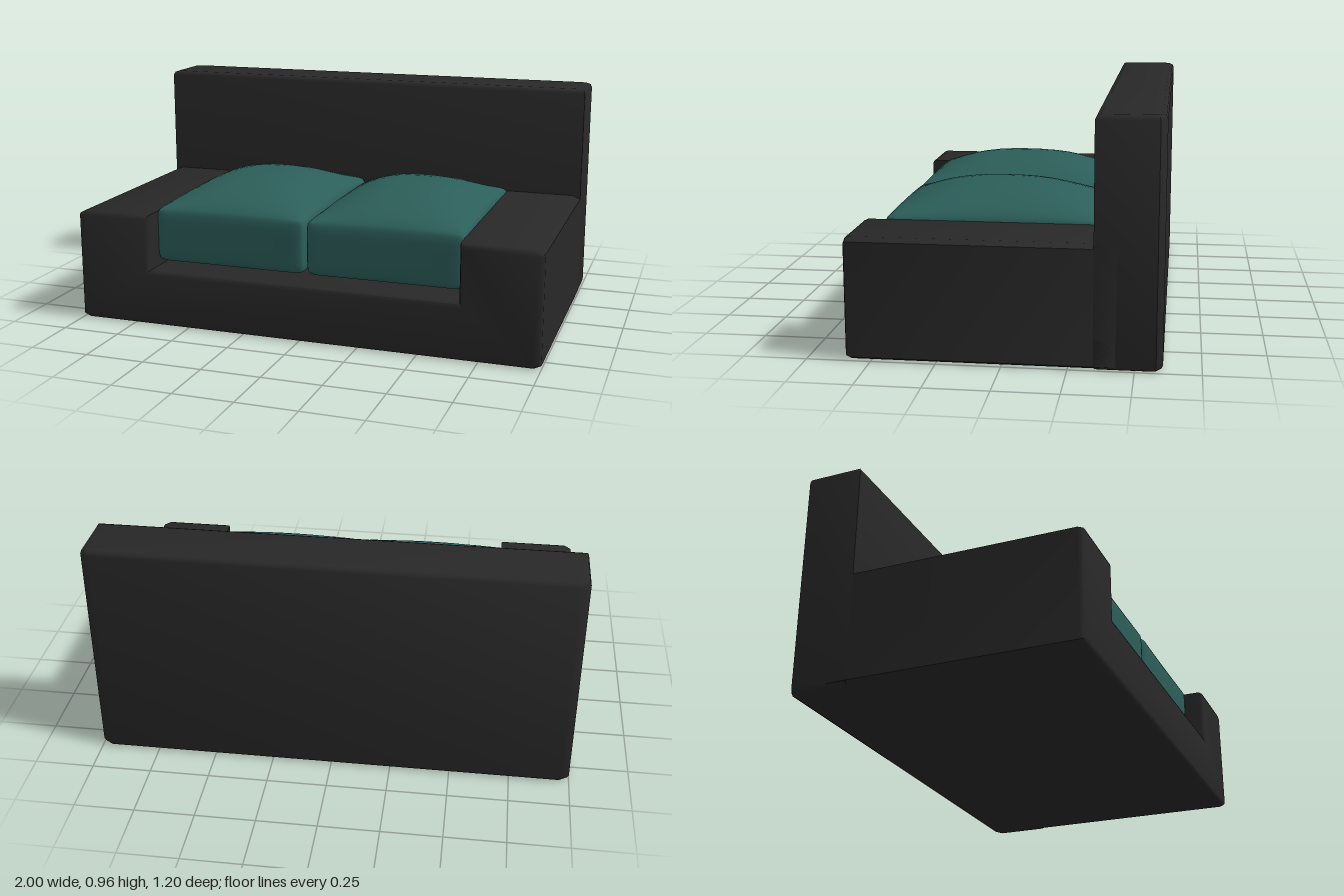
import * as THREE from 'three';
import { mergeVertices, toCreasedNormals } from 'three/addons/utils/BufferGeometryUtils.js';

const frameMaterial = new THREE.MeshStandardMaterial({ color: 0x282828 });
const cushionMaterial = new THREE.MeshStandardMaterial({ color: 0x2c5e59 });
const BEVEL = 0.02;

// Extrudes an outline with softened ends, keeping its exact outer size
function softExtrude(points, length) {
  const shape = new THREE.Shape(points.map(([x, y]) => new THREE.Vector2(x, y)));
  const geometry = new THREE.ExtrudeGeometry(shape, {
    depth: length - 2 * BEVEL, bevelEnabled: true, bevelSize: BEVEL,
    bevelThickness: BEVEL, bevelOffset: -BEVEL, bevelSegments: 2,
  });
  geometry.translate(0, 0, BEVEL);
  return toCreasedNormals(geometry, 0.9);
}

// Base and both arms: one U-shaped front outline, run back into the backrest
function makeBody() {
  const half = [[0.67, 0.24], [0.67, 0.48], [0.97, 0.48], [1, 0.465], [1, 0.015], [0.97, 0]];
  const mirrored = half.map(([x, y]) => [-x, y]).reverse();
  const geometry = softExtrude([...half, ...mirrored].reverse(), 1.05);
  geometry.translate(0, 0, -0.45);
  return new THREE.Mesh(geometry, frameMaterial);
}

// Backrest: plan outline with clipped rear corners, raised upwards
function makeBackrest() {
  const plan = [[-1, 0.345], [1, 0.345], [1, 0.58], [0.96, 0.605], [-0.96, 0.605], [-1, 0.58]];
  const geometry = softExtrude(plan, 0.96);
  geometry.rotateX(-Math.PI / 2);
  return new THREE.Mesh(geometry, frameMaterial);
}

// Seat cushion: rounded block with a domed top and slightly pinched sides
function makeCushion() {
  const half = new THREE.Vector3(0.338, 0.118, 0.435);
  const radius = 0.035;
  let geometry = new THREE.BoxGeometry(2, 2, 2, 20, 10, 20);
  geometry.deleteAttribute('uv');
  geometry.deleteAttribute('normal');
  geometry = mergeVertices(geometry);
  const position = geometry.attributes.position;
  const p = new THREE.Vector3();
  const inner = half.clone().subScalar(radius);
  const core = new THREE.Vector3();
  for (let i = 0; i < position.count; i++) {
    p.fromBufferAttribute(position, i);
    // crowd the grid towards the edges, then round them
    p.set(...p.toArray().map((t) => Math.sin(t * Math.PI / 2))).multiply(half);
    core.copy(p).clamp(inner.clone().negate(), inner);
    p.sub(core);
    if (p.lengthSq() > 0) p.setLength(radius);
    p.add(core);
    const u = Math.min(1, Math.abs(p.x / half.x));
    const v = p.y / half.y;
    const w = Math.min(1, Math.abs(p.z / half.z));
    const dome = (1 - u ** 2.5) * (1 - w ** 2.5);
    p.y += v > 0 ? 0.1 * dome * v : 0.01 * dome * v;
    p.x *= 1 - 0.03 * (1 - w * w);
    p.z *= 1 - 0.01 * (1 - u * u);
    position.setXYZ(i, p.x, p.y, p.z);
  }
  geometry.computeVertexNormals();
  return new THREE.Mesh(geometry, cushionMaterial);
}

export function createModel() {
  const sofa = new THREE.Group();
  sofa.name = 'sofa';

  const body = makeBody();
  body.name = 'baseAndArms';
  const backrest = makeBackrest();
  backrest.name = 'backrest';
  sofa.add(body, backrest);

  for (const [side, sign] of [['left', 1], ['right', -1]]) {
    const cushion = makeCushion();
    cushion.name = `${side}SeatCushion`;
    cushion.position.set(sign * 0.34, 0.378, 0.082);
    sofa.add(cushion);
  }
  return sofa;
}
